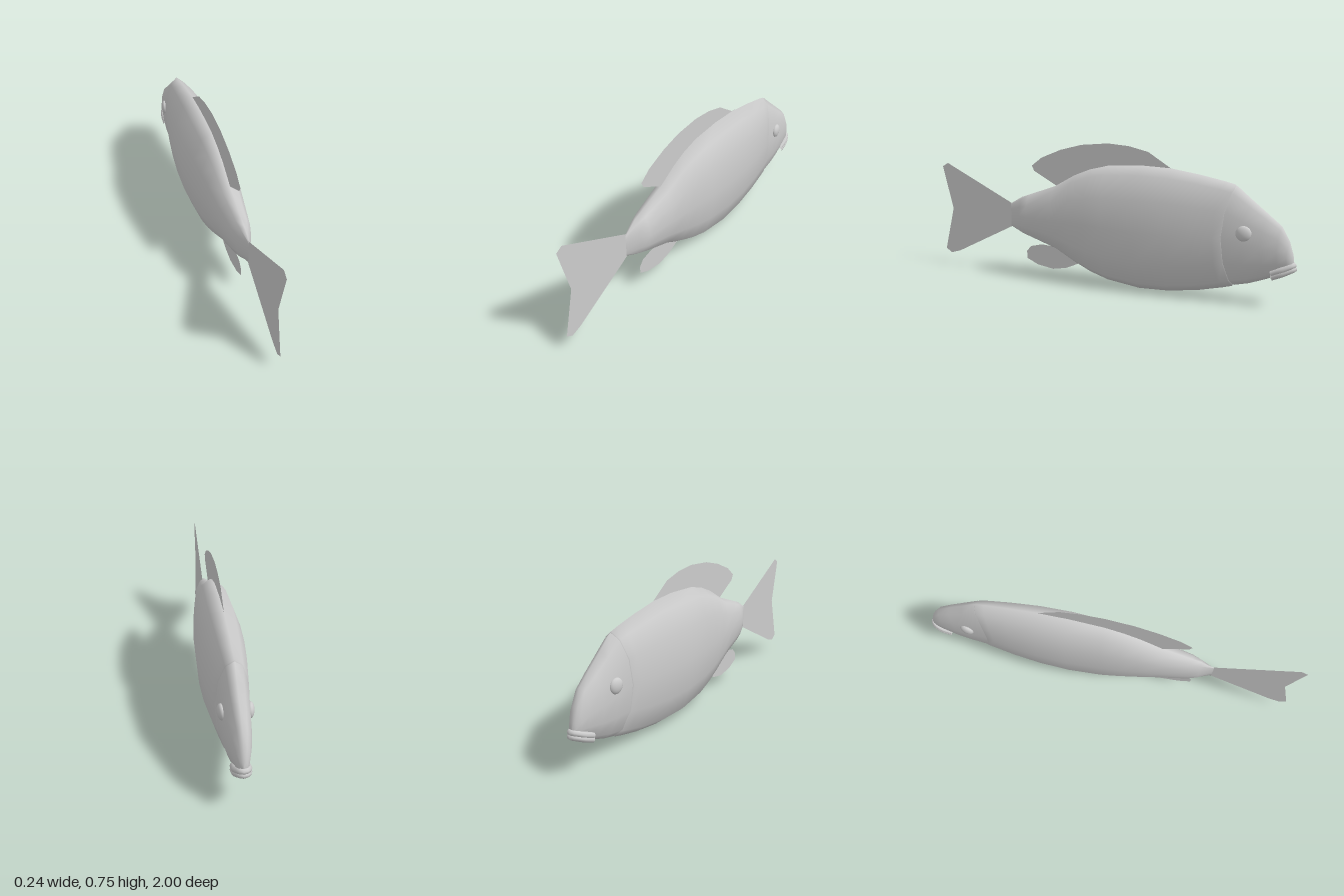
import * as THREE from 'three';

const SIDES = 12;
const skin = new THREE.MeshStandardMaterial({ color: 0xcccccc });
const finSkin = new THREE.MeshStandardMaterial({ color: 0xcccccc, side: THREE.DoubleSide });

// Loft of elliptical rings from tail to nose: [z, bottom, top, halfWidth, bow]
// bow pushes the flanks of a ring back towards the tail
function loft(name, rings) {
  const pos = [], idx = [];
  for (const [z, y0, y1, w, bow = 0] of rings) {
    for (let j = 0; j < SIDES; j++) {
      const t = (j / SIDES) * Math.PI * 2, s = Math.sin(t);
      pos.push(w * s, (y0 + y1) / 2 + ((y1 - y0) / 2) * Math.cos(t), z + bow * s * s);
    }
  }
  for (let i = 0; i < rings.length - 1; i++) {
    for (let j = 0; j < SIDES; j++) {
      const k = (j + 1) % SIDES;
      const a = i * SIDES + j, b = i * SIDES + k;
      idx.push(a, b, a + SIDES, b, b + SIDES, a + SIDES);
    }
  }
  const geo = new THREE.BufferGeometry();
  geo.setAttribute('position', new THREE.Float32BufferAttribute(pos, 3));
  geo.setIndex(idx);
  geo.computeVertexNormals();
  const mesh = new THREE.Mesh(geo, skin);
  mesh.name = name;
  return mesh;
}

// Flat fin in the x = 0 plane from [z, y] outline points
function fin(name, points) {
  const shape = new THREE.Shape(points.map(([z, y]) => new THREE.Vector2(-z, y)));
  const mesh = new THREE.Mesh(new THREE.ShapeGeometry(shape).rotateY(Math.PI / 2), finSkin);
  mesh.name = name;
  return mesh;
}

// Lip: a tube wrapped round the snout
function lip(name, y, z, radius) {
  const path = new THREE.CatmullRomCurve3([
    [-0.03, y - 0.045, z + 0.1], [-0.03, y - 0.02, z + 0.045], [-0.015, y - 0.002, z + 0.008], [0, y, z],
    [0.015, y - 0.002, z + 0.008], [0.03, y - 0.02, z + 0.045], [0.03, y - 0.045, z + 0.1],
  ].map((p) => new THREE.Vector3(...p)));
  const mesh = new THREE.Mesh(new THREE.TubeGeometry(path, 20, radius, 8), skin);
  mesh.name = name;
  return mesh;
}

export function createModel() {
  const fish = new THREE.Group();
  fish.name = 'fish';

  // Trunk, pinched to a vertical edge at the tail, rolled in at the gill opening
  fish.add(loft('body', [
    [0.56, 0.265, 0.39, 0],
    [0.49, 0.23, 0.432, 0.037],
    [0.44, 0.214, 0.45, 0.055],
    [0.285, 0.163, 0.507, 0.078],
    [0.17, 0.1, 0.573, 0.092],
    [0.08, 0.058, 0.61, 0.102],
    [-0.02, 0.026, 0.635, 0.112],
    [-0.2, 0.002, 0.648, 0.119],
    [-0.36, 0.008, 0.643, 0.114],
    [-0.52, 0.033, 0.62, 0.101, 0.02],
    [-0.64, 0.062, 0.597, 0.087, 0.04],
    [-0.69, 0.076, 0.585, 0.081, 0.05],
    [-0.695, 0.088, 0.575, 0.072, 0.05],
  ]));

  // Head, tucked just inside the gill edge
  fish.add(loft('head', [
    [-0.66, 0.084, 0.585, 0.078, 0.05],
    [-0.7, 0.083, 0.578, 0.076, 0.045],
    [-0.77, 0.1, 0.52, 0.07, 0.03],
    [-0.85, 0.13, 0.457, 0.06, 0.02],
    [-0.92, 0.163, 0.4, 0.047, 0.015],
    [-0.96, 0.185, 0.33, 0.034, 0.01],
    [-0.98, 0.2, 0.265, 0.02, 0.005],
    [-0.983, 0.23, 0.23, 0],
  ]));
  fish.add(lip('upperLip', 0.215, -0.982, 0.015));
  fish.add(lip('lowerLip', 0.197, -0.985, 0.015));

  // Eyes
  for (const side of [1, -1]) {
    const eye = new THREE.Mesh(new THREE.SphereGeometry(0.038, 16, 12), skin);
    eye.name = side > 0 ? 'leftEye' : 'rightEye';
    eye.scale.x = 0.5;
    eye.position.set(side * 0.064, 0.362, -0.75);
    eye.rotation.y = side * 0.15;
    fish.add(eye);
  }

  // Fins
  fish.add(fin('dorsalFin', [
    [-0.36, 0.643], [-0.24, 0.718], [-0.135, 0.742], [-0.02, 0.75], [0.13, 0.735], [0.25, 0.703],
    [0.365, 0.655], [0.425, 0.608], [0.41, 0.58], [0.275, 0.508], [0.1, 0.55], [-0.2, 0.6],
  ]));
  fish.add(fin('tailFin', [
    [0.55, 0.39], [0.965, 0.59], [1, 0.57], [0.94, 0.33], [1, 0.09], [0.965, 0.067], [0.905, 0.085], [0.55, 0.265],
  ]));
  fish.add(fin('analFin', [
    [0.15, 0.093], [0.225, 0.06], [0.305, 0.045], [0.4, 0.06], [0.465, 0.09], [0.465, 0.13],
    [0.44, 0.16], [0.37, 0.177], [0.285, 0.17], [0.2, 0.17],
  ]));
  return fish;
}
